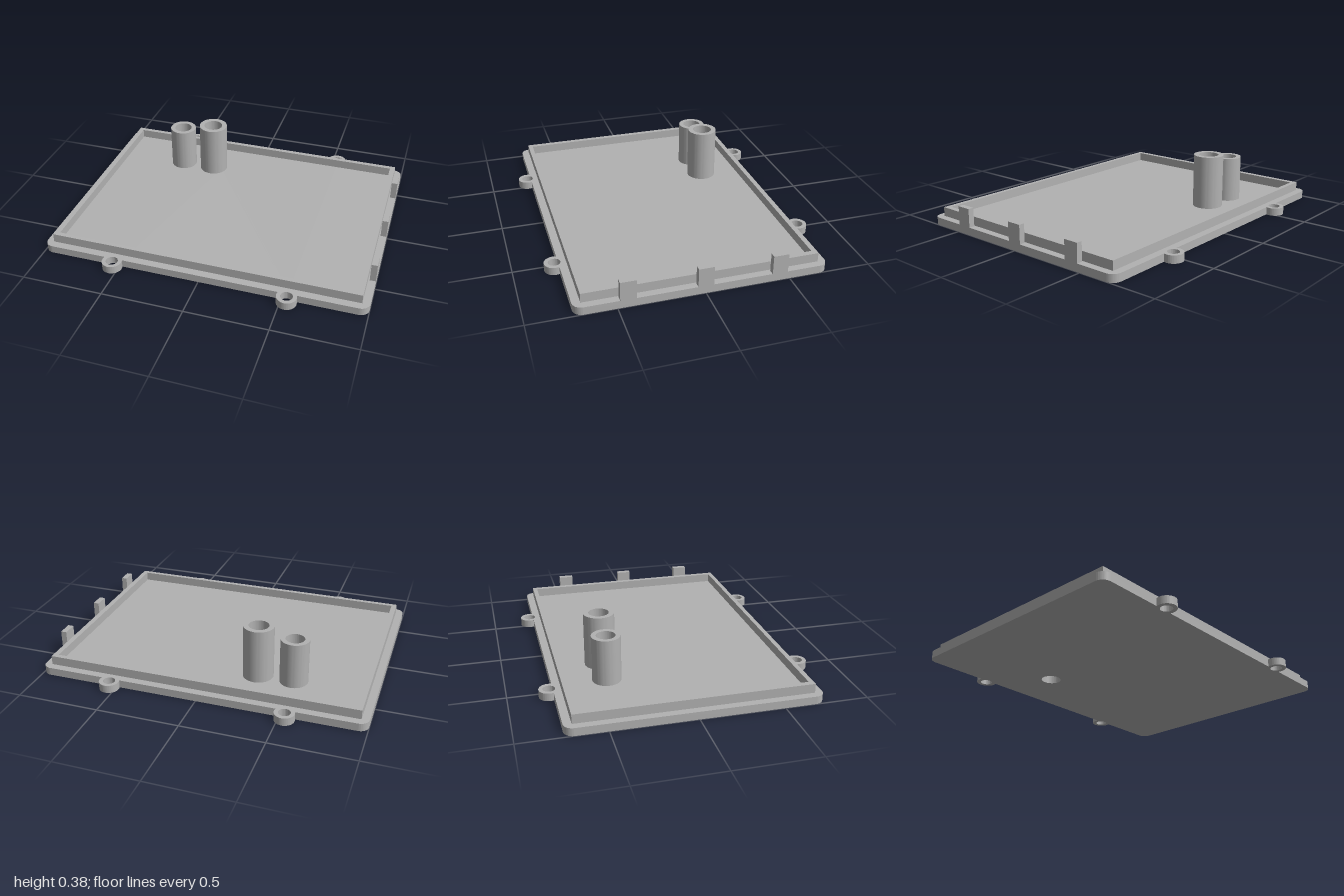
import * as THREE from 'three';
import { toCreasedNormals } from 'three/addons/utils/BufferGeometryUtils.js';

const PLATE_TOP = 0.048;
const EAR = { x: 0.537, z: 0.761, r: 0.06, hole: 0.036 };
const WIDE_POST = { x: -0.283, z: -0.417, r: 0.093, bore: 0.061, top: 0.382 };
const NARROW_POST = { x: -0.503, z: -0.417, r: 0.086, bore: 0.057, top: 0.33 };

const circle = (path, x, z, r) => path.absarc(x, -z, r, 0, Math.PI * 2, false);
const circleHole = (x, z, r) => circle(new THREE.Path(), x, z, r);

function rectangle(path, hx, hz) {
  path.moveTo(-hx, -hz);
  path.lineTo(hx, -hz);
  path.lineTo(hx, hz);
  path.lineTo(-hx, hz);
  path.closePath();
  return path;
}

// Plate outline with rounded corners and four screw ears
function plateShape(hx, hz, r) {
  const s = new THREE.Shape();
  const a = Math.asin((EAR.z - hz) / EAR.r);
  const PI = Math.PI;
  s.moveTo(-hx + r, -hz);
  for (const x of [-EAR.x, EAR.x]) s.absarc(x, -EAR.z, EAR.r, PI - a, 2 * PI + a, false);
  s.absarc(hx - r, -hz + r, r, -PI / 2, 0, false);
  s.absarc(hx - r, hz - r, r, 0, PI / 2, false);
  for (const x of [EAR.x, -EAR.x]) s.absarc(x, EAR.z, EAR.r, -a, PI + a, false);
  s.absarc(-hx + r, hz - r, r, PI / 2, PI, false);
  s.absarc(-hx + r, -hz + r, r, PI, PI * 1.5, false);
  for (const x of [-EAR.x, EAR.x])
    for (const z of [-EAR.z, EAR.z]) s.holes.push(circleHole(x, z, EAR.hole));
  s.holes.push(circleHole(WIDE_POST.x, WIDE_POST.z, WIDE_POST.bore));
  return s;
}

export function createModel() {
  const model = new THREE.Group();
  model.name = 'enclosureLid';
  const grey = new THREE.MeshStandardMaterial({ color: 0xb2b2b2 });
  grey.name = 'grey plastic';

  // Extrudes a plan shape upwards between two heights
  function slab(name, shape, bottom, top) {
    const geo = new THREE.ExtrudeGeometry(shape, { depth: top - bottom, bevelEnabled: false, curveSegments: 32 });
    geo.rotateX(-Math.PI / 2);
    const mesh = new THREE.Mesh(toCreasedNormals(geo, 0.6), grey);
    mesh.position.y = bottom;
    mesh.name = name;
    model.add(mesh);
  }

  slab('basePlate', plateShape(1, 0.74, 0.055), 0, PLATE_TOP);

  // Raised locating rim
  const rim = rectangle(new THREE.Shape(), 0.955, 0.693);
  rim.holes.push(rectangle(new THREE.Path(), 0.922, 0.664));
  slab('rim', rim, PLATE_TOP, 0.104);

  // Hollow posts; the wide one is open through the plate
  for (const [name, p] of [['widePost', WIDE_POST], ['narrowPost', NARROW_POST]]) {
    const ring = circle(new THREE.Shape(), p.x, p.z, p.r);
    ring.holes.push(circleHole(p.x, p.z, p.bore));
    slab(name, ring, PLATE_TOP, p.top);
  }

  // Three upright clips along the left edge
  const clipHeight = 0.163 - PLATE_TOP;
  for (const z of [-0.44, 0, 0.44]) {
    const clip = new THREE.Mesh(new THREE.BoxGeometry(0.036, clipHeight, 0.092), grey);
    clip.position.set(0.982, PLATE_TOP + clipHeight / 2, z);
    clip.name = 'clip';
    model.add(clip);
  }
  return model;
}
